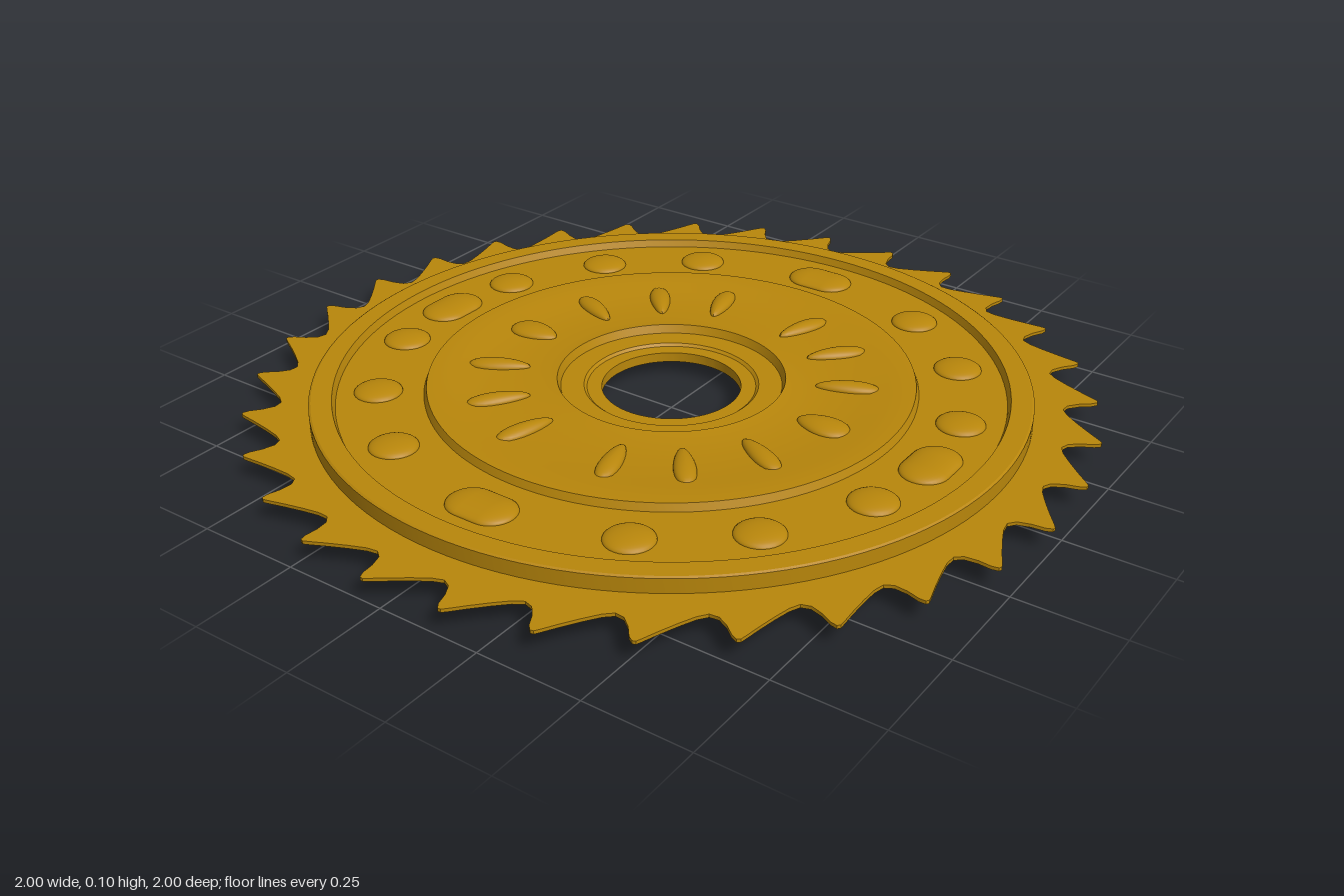
import * as THREE from 'three';
import { toCreasedNormals } from 'three/addons/utils/BufferGeometryUtils.js';

const MID = 0.05; // height of the symmetry plane
const TEETH = 32;
const DEG = Math.PI / 180;

// Half profile of the disc, hub to rim: [radius, height from the middle]
const HALF = [
  [0.165, 0.012], [0.2, 0.012], [0.207, 0.018], [0.262, 0.018], [0.27, 0.038],
  [0.3, 0.034], [0.47, 0.034], [0.51, 0.042], [0.575, 0.042], [0.582, 0.024],
  [0.785, 0.024], [0.792, 0.042], [0.84, 0.042], [0.845, 0.039],
];

// One tooth, clockwise from its tip: [fraction of pitch, radius]
const TOOTH = [
  [0, 0.999], [0.035, 0.985], [0.06, 0.955], [0.12, 0.927], [0.22, 0.915],
  [0.36, 0.922], [0.55, 0.942], [0.75, 0.968], [0.9, 0.991], [0.96, 1.0],
];

function bladeGeometry() {
  const pts = [];
  for (let i = 0; i < TEETH; i++) {
    for (const [f, r] of TOOTH) {
      const a = (87.1 - (i + f) * 360 / TEETH) * DEG;
      pts.push(new THREE.Vector2(r * Math.cos(a), r * Math.sin(a)));
    }
  }
  const shape = new THREE.Shape(pts);
  shape.holes.push(new THREE.Path().absarc(0, 0, 0.8, 0, Math.PI * 2, false));
  const g = new THREE.ExtrudeGeometry(shape, { depth: 0.008, bevelEnabled: false, curveSegments: 48 });
  g.translate(0, 0, -0.004);
  g.rotateX(-Math.PI / 2);
  return toCreasedNormals(g, 0.6);
}

function discGeometry() {
  const lower = HALF.map(([r, h]) => new THREE.Vector2(r, -h));
  const upper = HALF.map(([r, h]) => new THREE.Vector2(r, h)).reverse();
  return toCreasedNormals(new THREE.LatheGeometry([...lower, ...upper, lower[0]], 128), 0.5);
}

// Flattened teardrop, wider towards +x
function petalGeometry(length, width, height) {
  const g = new THREE.SphereGeometry(1, 24, 16);
  const p = g.attributes.position;
  for (let i = 0; i < p.count; i++) {
    const x = p.getX(i);
    p.setXYZ(i, x * length / 2, p.getY(i) * height, p.getZ(i) * (1 + 0.25 * x) * width / 2);
  }
  g.computeVertexNormals();
  return g;
}

export function createModel() {
  const gold = new THREE.MeshStandardMaterial({ color: 0xb8860b });
  gold.name = 'gold';

  const model = new THREE.Group();
  model.name = 'toothedDisc';

  const add = (name, geometry, y = MID) => {
    const mesh = new THREE.Mesh(geometry, gold);
    mesh.name = name;
    mesh.position.y = y;
    model.add(mesh);
    return mesh;
  };

  add('toothedBlade', bladeGeometry());
  add('steppedDisc', discGeometry());

  // Raised details, placed on both faces
  const addBoss = (name, geometry, radius, angle, level) => {
    for (const side of [1, -1]) {
      const mesh = add(name, geometry, MID + side * level);
      mesh.position.x = radius * Math.cos(angle);
      mesh.position.z = -radius * Math.sin(angle);
      mesh.rotation.y = angle;
    }
  };

  // Rounded slots and round studs on the outer panel
  const slot = new THREE.CapsuleGeometry(0.057, 0.056, 10, 28);
  slot.rotateX(Math.PI / 2);
  slot.scale(1, 0.016 / 0.057, 1);
  const stud = new THREE.SphereGeometry(0.057, 28, 16);
  stud.scale(1, 0.016 / 0.057, 1);
  for (let i = 0; i < 4; i++) addBoss('slotBoss', slot, 0.687, i * 90 * DEG, 0.024);
  for (const base of [0, 180]) {
    for (const a of [17, 39.7, 62]) {
      for (const s of [1, -1]) addBoss('roundStud', stud, 0.688, (base + s * a) * DEG, 0.024);
    }
  }

  // Radial petals in the inner basin
  const petal = petalGeometry(0.15, 0.05, 0.016);
  const broadPetal = petalGeometry(0.13, 0.08, 0.016);
  for (const base of [0, 180]) {
    addBoss('broadPetal', broadPetal, 0.415, base * DEG, 0.034);
    for (const a of [27, 51, 73]) {
      for (const s of [1, -1]) addBoss('petal', petal, 0.415, (base + s * a) * DEG, 0.034);
    }
  }

  return model;
}
